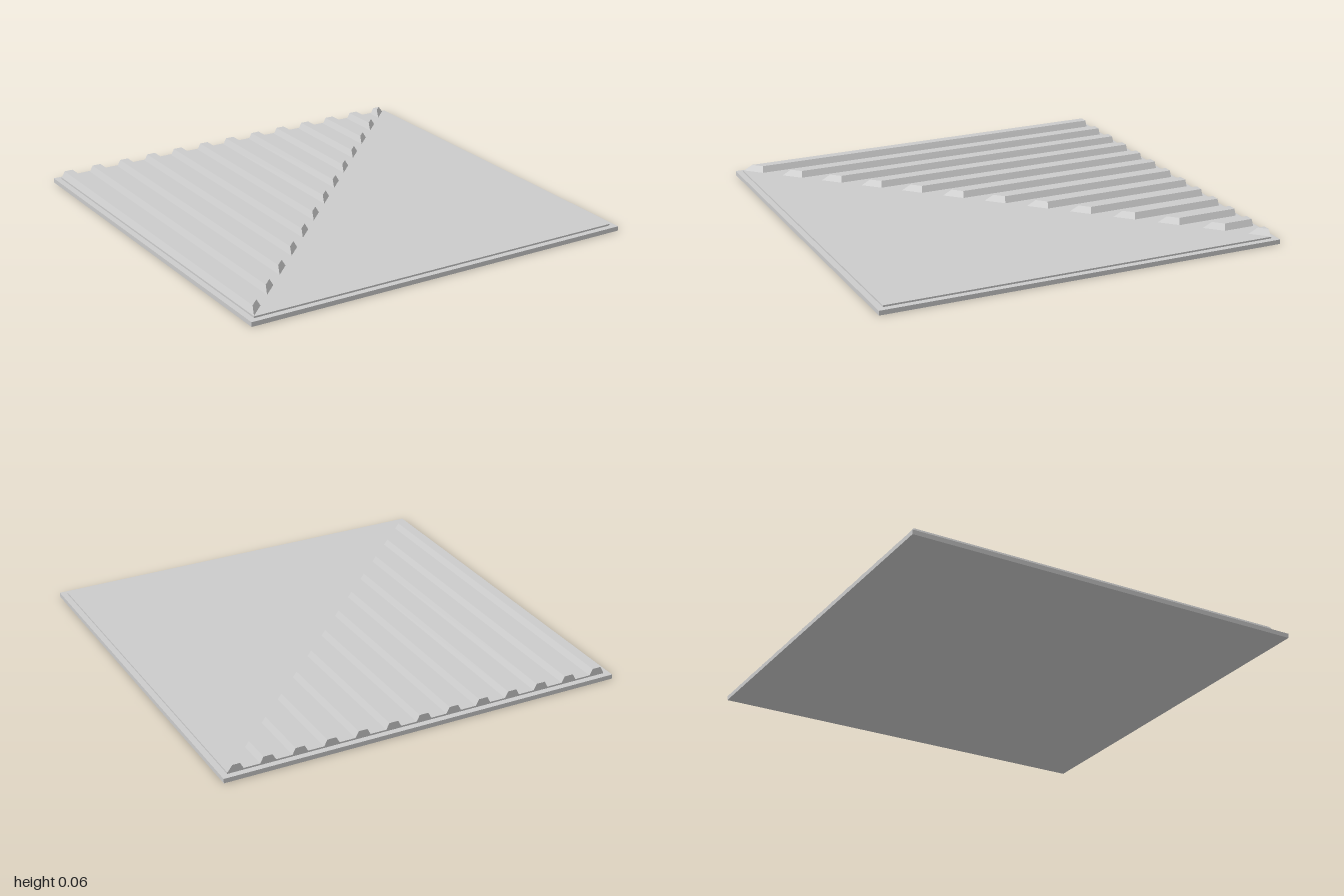
import * as THREE from 'three';

const material = new THREE.MeshStandardMaterial({ color: 0xcccccc, flatShading: true });
const EDGE = 0.97, BASE = 0.022, PANEL = 0.03, TOP = 0.06, BEVEL = 0.018;

function slab(name, size, y0, y1) {
  const mesh = new THREE.Mesh(new THREE.BoxGeometry(size, y1 - y0, size), material);
  mesh.position.y = (y0 + y1) / 2;
  mesh.name = name;
  return mesh;
}

// Outline of a rib at height y: straight at the back, cut along the diagonal x + z = -cut in front
function ribLoop(x0, x1, cut, y) {
  const right = Math.min(x1, EDGE - cut);
  return [
    [x0, y, -EDGE],
    [x0, y, -x0 - cut],
    [right, y, -right - cut],
    [right, y, -EDGE],
  ].map((p) => new THREE.Vector3(...p));
}

// Rib with bevelled sides and a bevelled diagonal end
function ribGeometry(x) {
  const low = ribLoop(x - 0.04, x + 0.04, 0, PANEL - 0.004);
  const high = ribLoop(x - 0.04 + BEVEL, x + 0.04 - BEVEL, BEVEL * Math.SQRT2, TOP);
  const points = [];
  const quad = (a, b, c, d) => {
    for (const t of [[a, b, c], [a, c, d]]) {
      if (new THREE.Triangle(...t).getArea() > 1e-7) points.push(...t);
    }
  };
  quad(...high);
  quad(...[...low].reverse());
  for (let i = 0; i < 4; i++) {
    const j = (i + 1) % 4;
    quad(low[i], low[j], high[j], high[i]);
  }
  const geometry = new THREE.BufferGeometry().setFromPoints(points);
  geometry.computeVertexNormals();
  return geometry;
}

export function createModel() {
  const model = new THREE.Group();
  model.name = 'ribbedTile';

  // Base plate and the slightly raised panel on it
  model.add(slab('basePlate', 2, 0, BASE), slab('raisedPanel', EDGE * 2, BASE, PANEL));

  // Thirteen ribs, shorter from right to left along the diagonal
  const ribs = new THREE.Group();
  ribs.name = 'ribs';
  for (let i = 0; i < 13; i++) {
    const rib = new THREE.Mesh(ribGeometry(-0.93 + i * 0.155), material);
    rib.name = `rib${i + 1}`;
    ribs.add(rib);
  }
  model.add(ribs);
  return model;
}
